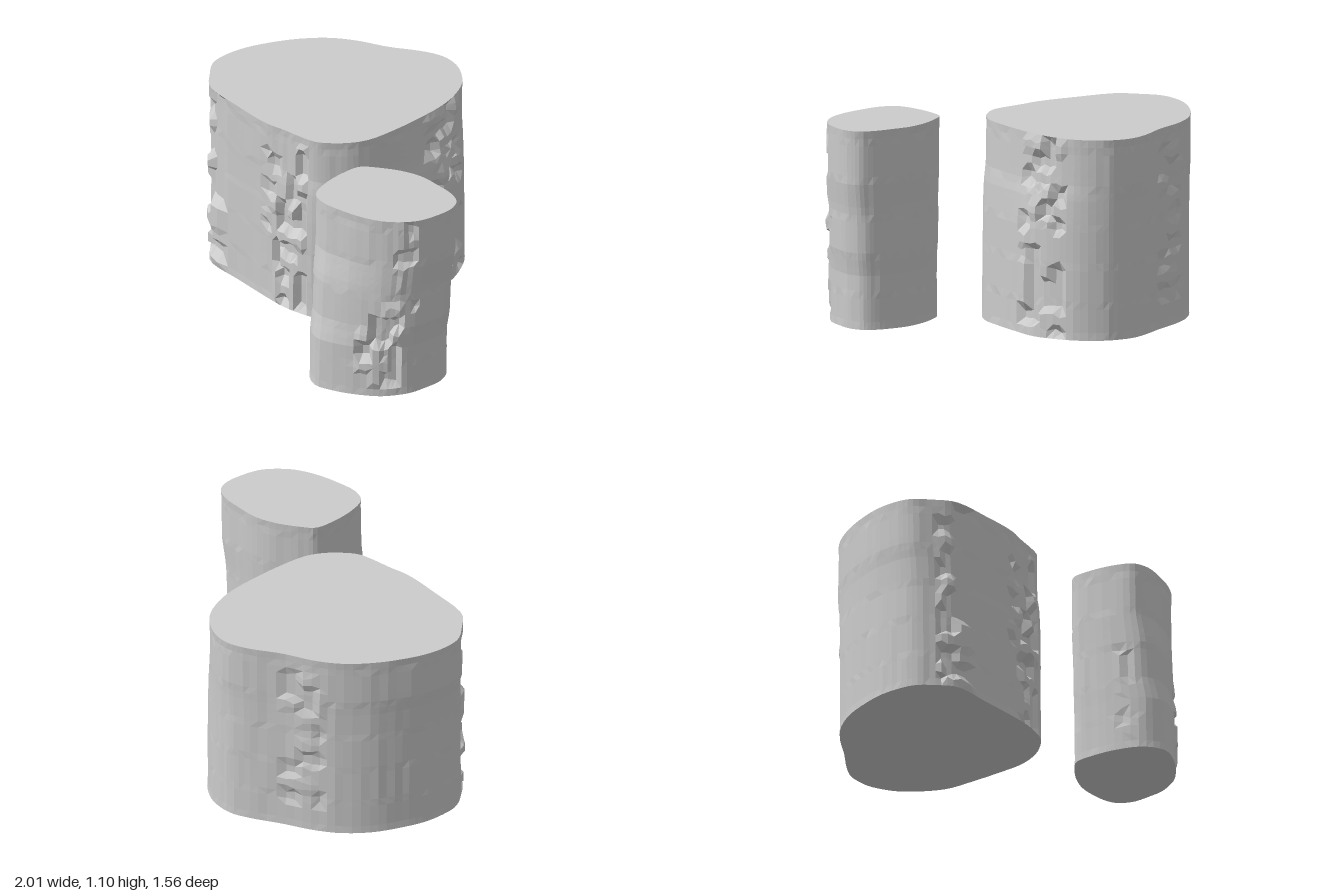
import * as THREE from 'three';

const HEIGHT = 1.1, ROWS = 26;

// Repeatable hash in 0..1
function hash(a, b, c) {
  const s = Math.sin(a * 127.1 + b * 311.7 + c * 74.7) * 43758.5453;
  return s - Math.floor(s);
}

// Value of a piecewise linear [y, value] table
function lerpTable(table, y) {
  for (let k = 1; k < table.length; k++) {
    const [y0, v0] = table[k - 1], [y1, v1] = table[k];
    if (y <= y1) return v0 + (v1 - v0) * (y - y0) / (y1 - y0);
  }
  return table[table.length - 1][1];
}

function closedCurve(points) {
  return new THREE.CatmullRomCurve3(points.map(([x, z]) => new THREE.Vector3(x, 0, z)), true);
}

// Rough column lofted between a bottom and a top outline, with chipped patches
function roughColumn(name, outline, blend, patches, cols, seed) {
  const top = closedCurve(outline.map(p => [p[0], p[1]]));
  const bottom = closedCurve(outline.map(p => [p[2], p[3]]));
  const pos = [], index = [];
  const t = new THREE.Vector3(), b = new THREE.Vector3(), dir = new THREE.Vector3();
  for (let j = 0; j <= ROWS; j++) {
    const y = HEIGHT * j / ROWS, rim = j === 0 || j === ROWS;
    const w = lerpTable(blend, y);
    for (let i = 0; i < cols; i++) {
      top.getPoint(i / cols, t);
      bottom.getPoint(i / cols, b);
      top.getTangent(i / cols, dir);
      t.lerp(b, w);
      // Broad vertical streaks and slight dents
      let depth = rim ? 0 : 0.004 * hash(i, Math.floor(j / 5), seed);
      let py = y;
      // Stepped chips inside the patches
      for (const [x, z, r, y0, y1, size] of patches) {
        if (Math.hypot(t.x - x, t.z - z) > r || y < y0 || y > y1) continue;
        const step = hash(Math.floor(i / 2), Math.floor(j / 2), seed + 9);
        depth += step > 0.55 ? size : step < 0.2 ? -size * 0.4 : 0;
        if (!rim) py += (hash(i, j, seed + 5) - 0.5) * 0.025;
      }
      // The inward direction is the tangent turned a quarter
      pos.push(t.x - dir.z * depth, py, t.z + dir.x * depth);
    }
  }
  for (let j = 0; j < ROWS; j++) {
    for (let i = 0; i < cols; i++) {
      const n = (i + 1) % cols;
      const a = j * cols + i, c = j * cols + n, d = a + cols, e = c + cols;
      if (hash(i, j, seed + 2) < 0.5) index.push(a, d, c, c, d, e);
      else index.push(a, d, e, a, e, c);
    }
  }
  // Flat caps fanned from the middle
  const cx = outline.reduce((s, p) => s + p[0], 0) / outline.length;
  const cz = outline.reduce((s, p) => s + p[1], 0) / outline.length;
  const low = pos.length / 3, high = low + 1, last = ROWS * cols;
  pos.push(cx, 0, cz, cx, HEIGHT, cz);
  for (let i = 0; i < cols; i++) {
    const n = (i + 1) % cols;
    index.push(low, i, n, high, last + n, last + i);
  }
  const indexed = new THREE.BufferGeometry();
  indexed.setAttribute('position', new THREE.Float32BufferAttribute(pos, 3));
  indexed.setIndex(index);
  const geometry = indexed.toNonIndexed();
  geometry.computeVertexNormals();
  const mesh = new THREE.Mesh(geometry,
    new THREE.MeshStandardMaterial({ color: 0xcccccc, flatShading: true }));
  mesh.name = name;
  return mesh;
}

export function createModel() {
  const group = new THREE.Group();
  group.name = 'rockColumns';

  // Outlines: top x, top z, bottom x, bottom z
  const large = [
    [-0.17, -0.78, -0.17, -0.77], [-0.08, -0.76, -0.08, -0.76], [0.04, -0.68, 0.05, -0.69],
    [0.11, -0.57, 0.14, -0.58], [0.15, -0.45, 0.2, -0.45], [0.17, -0.3, 0.21, -0.3],
    [0.18, -0.1, 0.21, -0.1], [0.17, 0.08, 0.2, 0.06], [0.13, 0.18, 0.15, 0.19],
    [0.06, 0.27, 0.08, 0.28], [0, 0.32, 0.01, 0.34], [-0.1, 0.35, -0.09, 0.375],
    [-0.2, 0.37, -0.19, 0.395], [-0.32, 0.4, -0.32, 0.4], [-0.55, 0.405, -0.55, 0.4],
    [-0.8, 0.39, -0.79, 0.395], [-0.9, 0.31, -0.88, 0.32], [-0.98, 0.22, -0.95, 0.23],
    [-1, 0.12, -0.97, 0.12], [-0.99, 0, -0.965, 0], [-0.95, -0.13, -0.93, -0.13],
    [-0.88, -0.28, -0.87, -0.28], [-0.78, -0.42, -0.77, -0.42], [-0.66, -0.52, -0.65, -0.52],
    [-0.5, -0.61, -0.5, -0.61], [-0.35, -0.72, -0.35, -0.71], [-0.25, -0.77, -0.25, -0.76],
  ];
  const small = [
    [0.34, 0.4, 0.35, 0.42], [0.35, 0.3, 0.36, 0.31], [0.41, 0.24, 0.42, 0.25],
    [0.52, 0.16, 0.52, 0.18], [0.64, 0.11, 0.64, 0.13], [0.76, 0.1, 0.75, 0.12],
    [0.88, 0.1, 0.85, 0.13], [0.96, 0.13, 0.91, 0.16], [1, 0.2, 0.95, 0.24],
    [1, 0.33, 0.95, 0.35], [0.98, 0.42, 0.94, 0.44], [0.93, 0.5, 0.9, 0.53],
    [0.86, 0.57, 0.86, 0.59], [0.75, 0.63, 0.77, 0.67], [0.62, 0.67, 0.66, 0.74],
    [0.5, 0.69, 0.54, 0.78], [0.41, 0.66, 0.43, 0.72], [0.36, 0.55, 0.37, 0.58],
  ];

  // Chip patches: x, z, radius, lowest y, highest y, depth
  group.add(roughColumn('largeColumn', large,
    [[0, 1], [0.6, 0.9], [0.76, 0.6], [0.85, 0.15], [1.1, 0]],
    [
      [-0.8, 0.38, 0.1, 0.02, 1.06, 0.03],
      [-0.15, 0.37, 0.11, 0.03, 0.65, 0.035],
      [-0.1, 0.35, 0.06, 0.65, 1.04, 0.03],
      [-0.3, 0.39, 0.06, 0.45, 0.95, 0.02],
      [0.17, -0.46, 0.15, 0.02, 1.08, 0.03],
      [-0.6, -0.56, 0.13, 0.15, 1.0, 0.014],
    ], 96, 3));
  group.add(roughColumn('smallColumn', small,
    [[0, 1], [0.3, 0.93], [0.42, 0.6], [0.65, 0.45], [0.8, 0.08], [1.1, 0]],
    [
      [0.85, 0.58, 0.11, 0.08, 0.55, 0.035],
      [0.95, 0.47, 0.05, 0.55, 1.06, 0.018],
      [0.38, 0.62, 0.05, 0.05, 0.6, 0.01],
    ], 60, 17));
  return group;
}
